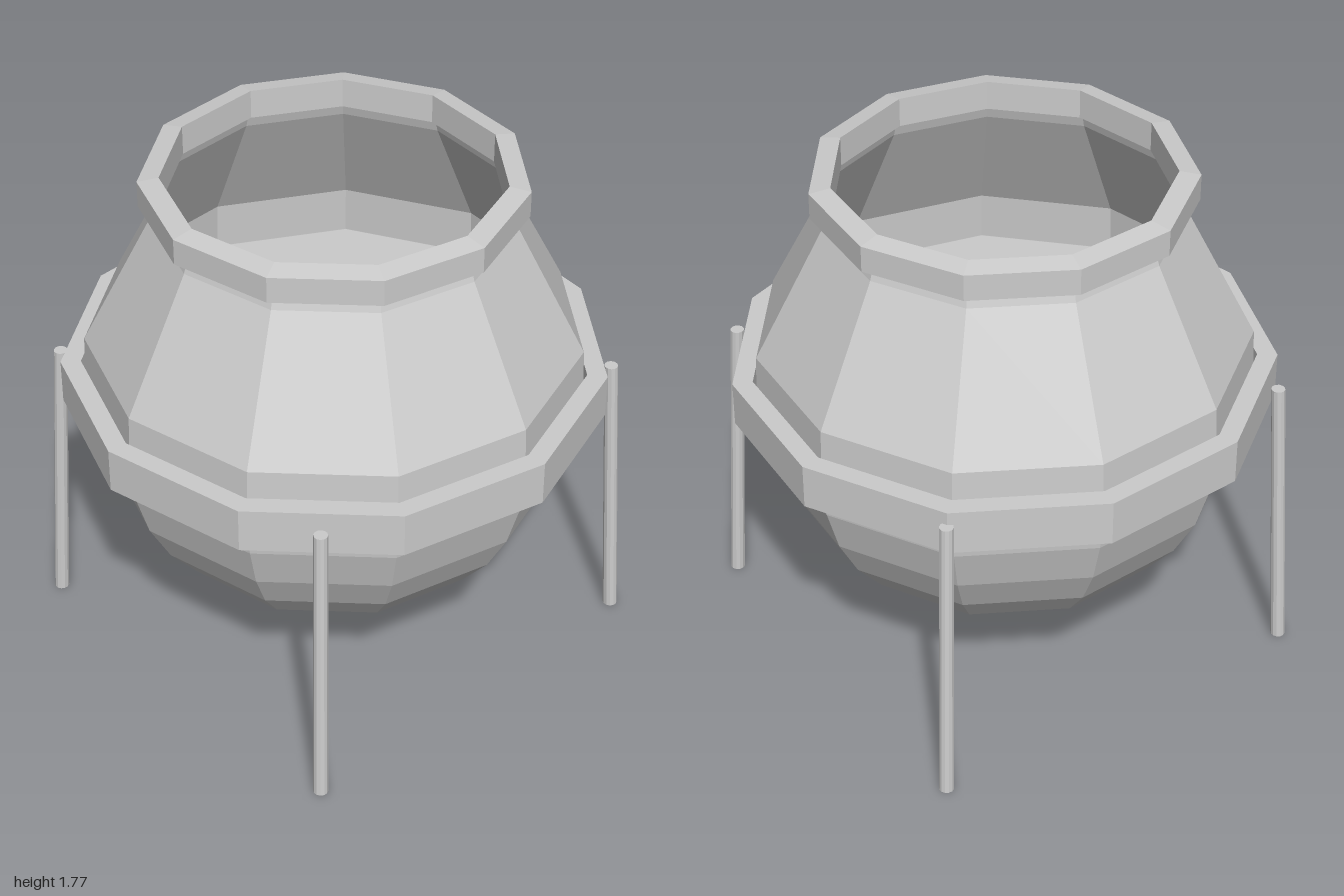
import * as THREE from 'three';

const SIDES = 11;
const LEG_TOP = 1.035;

export function createModel() {
  const root = new THREE.Group();
  root.name = 'cauldron';
  const material = new THREE.MeshStandardMaterial({ color: 0xcccccc, flatShading: true });
  const openMaterial = material.clone();
  openMaterial.side = THREE.DoubleSide;

  const add = (name, geometry, mat = material, parent = root) => {
    const mesh = new THREE.Mesh(geometry, mat);
    mesh.name = name;
    parent.add(mesh);
    return mesh;
  };
  // Eleven-sided turned part with one corner pointing to the back
  const turn = (profile) =>
    new THREE.LatheGeometry(profile.map(([r, y]) => new THREE.Vector2(r, y)), SIDES, Math.PI);

  // Pot: round lower bowl, then shoulder tapering into the neck
  const bowl = [];
  for (let i = 0; i <= 8; i++) {
    const a = (i / 8) * Math.PI / 2;
    bowl.push([0.83 * Math.sin(a), 1 - 0.83 * Math.cos(a)]);
  }
  add('pot', turn([...bowl, [0.822, 1.17], [0.59, 1.62], [0.572, 1.68]]), openMaterial);

  // Flat surface of the contents
  add('contents', turn([[0.828, 1.0], [0, 1.0]]), openMaterial);

  // Rim around the mouth
  add('rim', turn([[0.555, 1.67], [0.625, 1.67], [0.625, 1.76], [0.555, 1.772], [0.555, 1.67]]));

  // Band around the belly
  add('band', turn([[0.838, 0.925], [0.905, 0.925], [0.905, 1.08], [0.838, 1.08], [0.838, 0.925]]));

  // Four splayed legs: rods sheared so that their ends stay level
  const legs = new THREE.Group();
  legs.name = 'legs';
  root.add(legs);
  const rod = new THREE.CylinderGeometry(0.023, 0.025, LEG_TOP, 12);
  rod.translate(0, LEG_TOP / 2, 0);
  const pos = rod.attributes.position;
  for (let i = 0; i < pos.count; i++) {
    pos.setX(i, pos.getX(i) + 0.975 - 0.06 * (pos.getY(i) / LEG_TOP));
  }
  ['leftLeg', 'backLeg', 'rightLeg', 'frontLeg'].forEach((name, i) => {
    add(name, rod, material, legs).rotation.y = (i * Math.PI) / 2;
  });

  return root;
}
